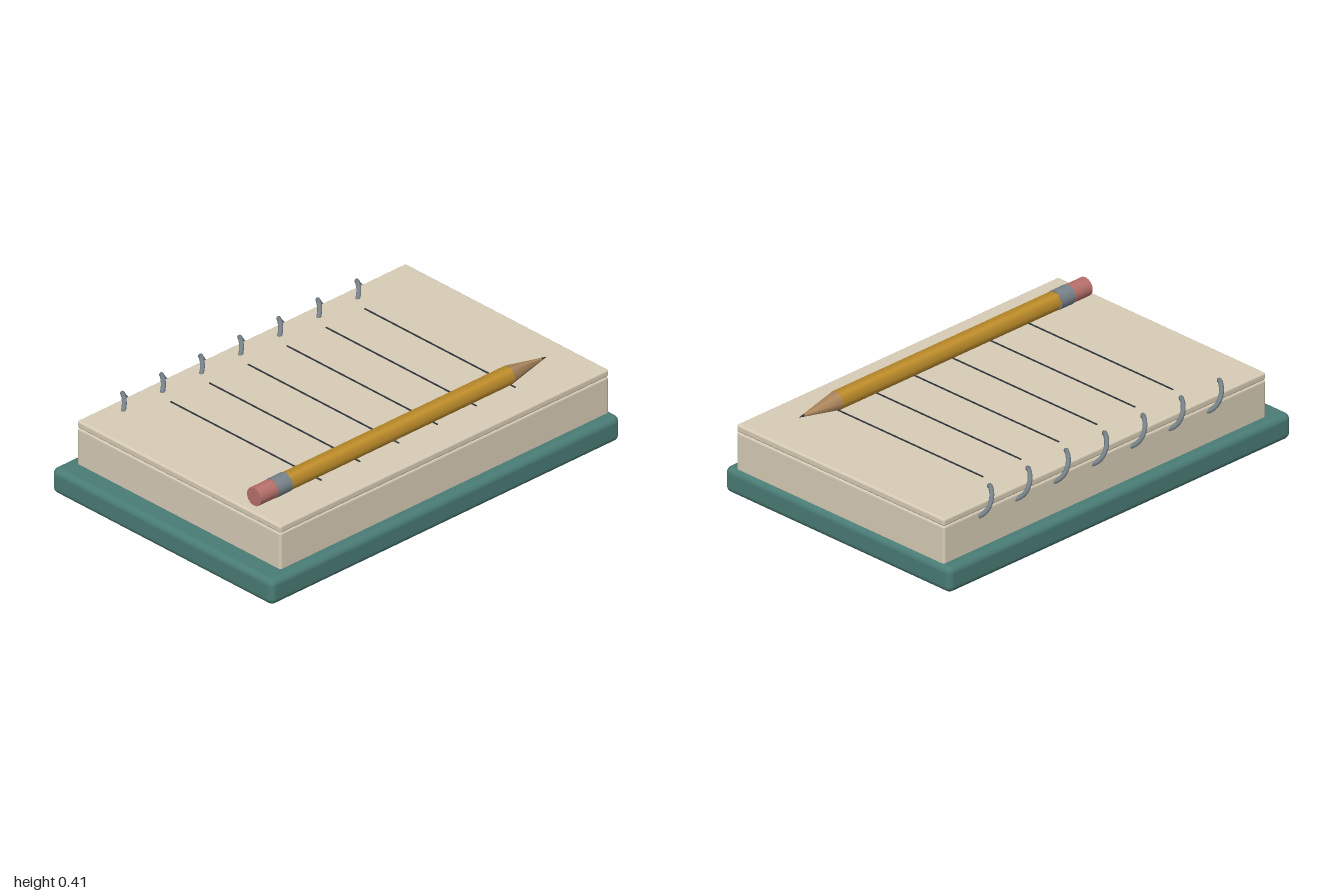
import * as THREE from 'three';
import { RoundedBoxGeometry } from 'three/addons/geometries/RoundedBoxGeometry.js';

const mat = (color) => new THREE.MeshStandardMaterial({ color });
const teal = mat(0x4a7c76);
const paper = mat(0xd8ccb6);
const metal = mat(0x77838a);
const ink = mat(0x30363c);
const yellow = mat(0xc2902c);
const pink = mat(0xb8706a);
const wood = mat(0xb08a60);

function add(parent, name, geometry, material, x = 0, y = 0, z = 0) {
  const mesh = new THREE.Mesh(geometry, material);
  mesh.name = name;
  mesh.position.set(x, y, z);
  parent.add(mesh);
  return mesh;
}

// Rounded slab given by its extents
function slab(parent, name, material, x0, x1, y0, y1, depth, radius) {
  const geo = new RoundedBoxGeometry(x1 - x0, y1 - y0, depth, 4, radius);
  add(parent, name, geo, material, (x0 + x1) / 2, (y0 + y1) / 2, 0);
}

// Continuous wire coil running along x
class Coil extends THREE.Curve {
  getPoint(t, target = new THREE.Vector3()) {
    const turns = 6.75, pitch = 0.2235, r = 0.049;
    const a = (t * turns - 0.08) * Math.PI * 2;
    return target.set(-0.715 + pitch * a / (Math.PI * 2), 0.309 + r * Math.sin(a), -0.582 + r * Math.cos(a));
  }
}

function createPencil() {
  const pencil = new THREE.Group();
  pencil.name = 'pencil';
  // Length of the pencil runs along x; r0 is the radius at x0, r1 at x1
  const section = (name, material, x0, x1, r0, r1, sides) => {
    const geo = new THREE.CylinderGeometry(r1, r0, x1 - x0, sides);
    geo.rotateZ(-Math.PI / 2);
    add(pencil, name, geo, material, (x0 + x1) / 2, 0, 0);
  };
  section('eraser', pink, -0.86, -0.755, 0.042, 0.042, 20);
  section('ferrule', metal, -0.76, -0.68, 0.044, 0.044, 20);
  section('pencilBody', yellow, -0.68, 0.595, 0.042, 0.042, 6);
  section('sharpenedWood', wood, 0.595, 0.785, 0.042, 0.006, 6);
  section('leadTip', ink, 0.785, 0.815, 0.006, 0, 6);
  pencil.position.set(0, 0.368, 0.408);
  return pencil;
}

export function createModel() {
  const model = new THREE.Group();
  model.name = 'notebookWithPencil';

  // Cover, page block and top sheet
  slab(model, 'cover', teal, -1, 1, 0, 0.12, 1.32, 0.03);
  slab(model, 'pageBlock', paper, -0.9, 0.98, 0.1, 0.292, 1.215, 0.012);
  slab(model, 'topSheet', paper, -0.9, 0.98, 0.29, 0.325, 1.215, 0.01);

  // Ruled lines
  for (let i = 0; i < 6; i++) {
    add(model, 'ruledLine', new THREE.BoxGeometry(0.006, 0.006, 0.9), ink, -0.515 + i * 0.222, 0.326, 0);
  }

  // Spiral binding
  add(model, 'spiralBinding', new THREE.TubeGeometry(new Coil(), 260, 0.0105, 8), metal);

  model.add(createPencil());
  return model;
}
